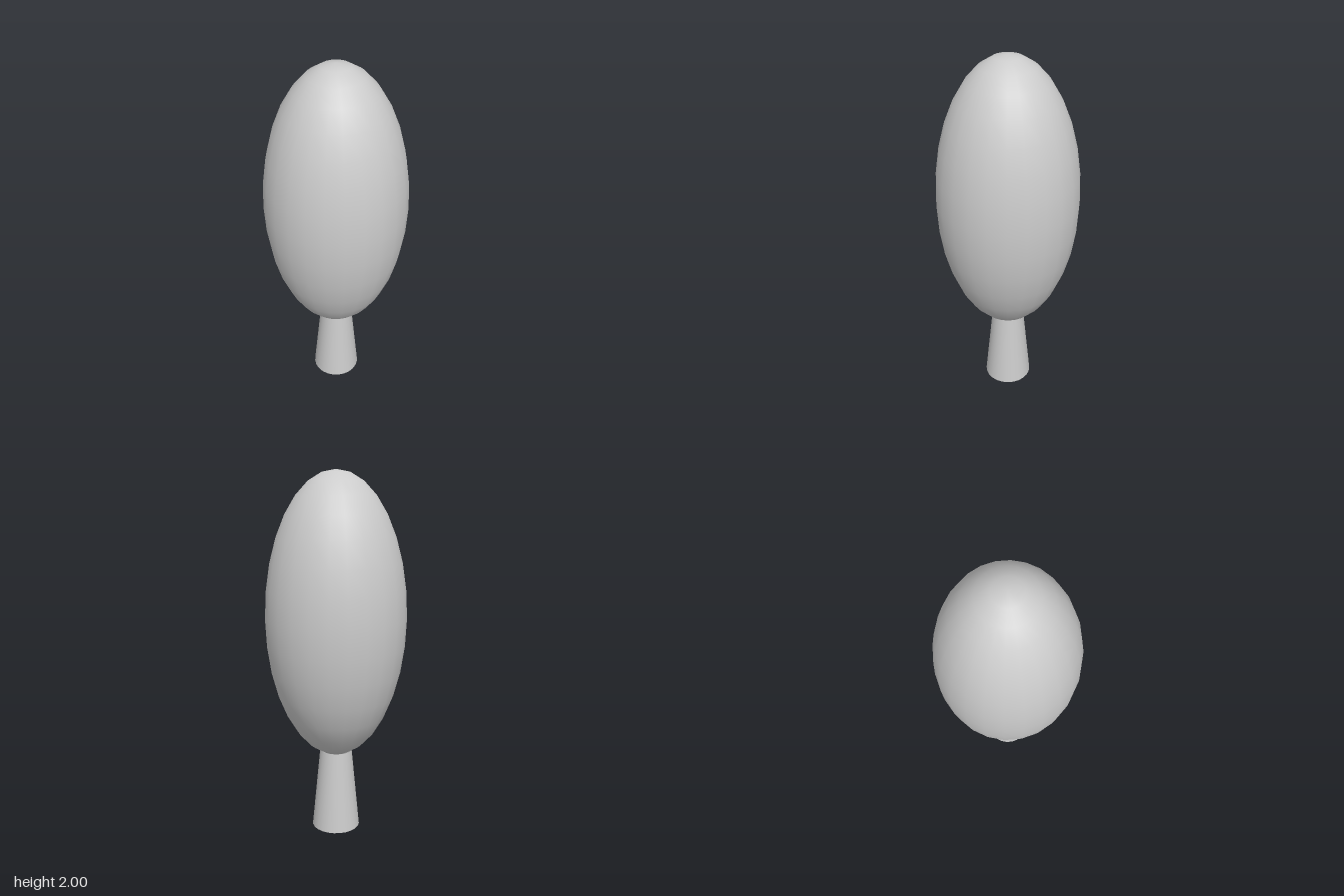
import * as THREE from 'three';

export function createModel() {
  const group = new THREE.Group();
  group.name = 'tree';
  const material = new THREE.MeshStandardMaterial({ color: 0xcccccc, side: THREE.DoubleSide });

  const add = (name, geometry, y) => {
    const mesh = new THREE.Mesh(geometry, material);
    mesh.name = name;
    mesh.position.y = y;
    group.add(mesh);
  };

  // Tall egg-shaped crown
  const crownHalfHeight = 0.78;
  add('crown', new THREE.SphereGeometry(1, 24, 16).scale(0.385, crownHalfHeight, 0.385), 2 - crownHalfHeight);

  // Tapered trunk, open at both ends, meeting the underside of the crown
  const trunkHeight = 0.46;
  add('trunk', new THREE.CylinderGeometry(0.09, 0.135, trunkHeight, 24, 1, true), trunkHeight / 2);

  return group;
}
